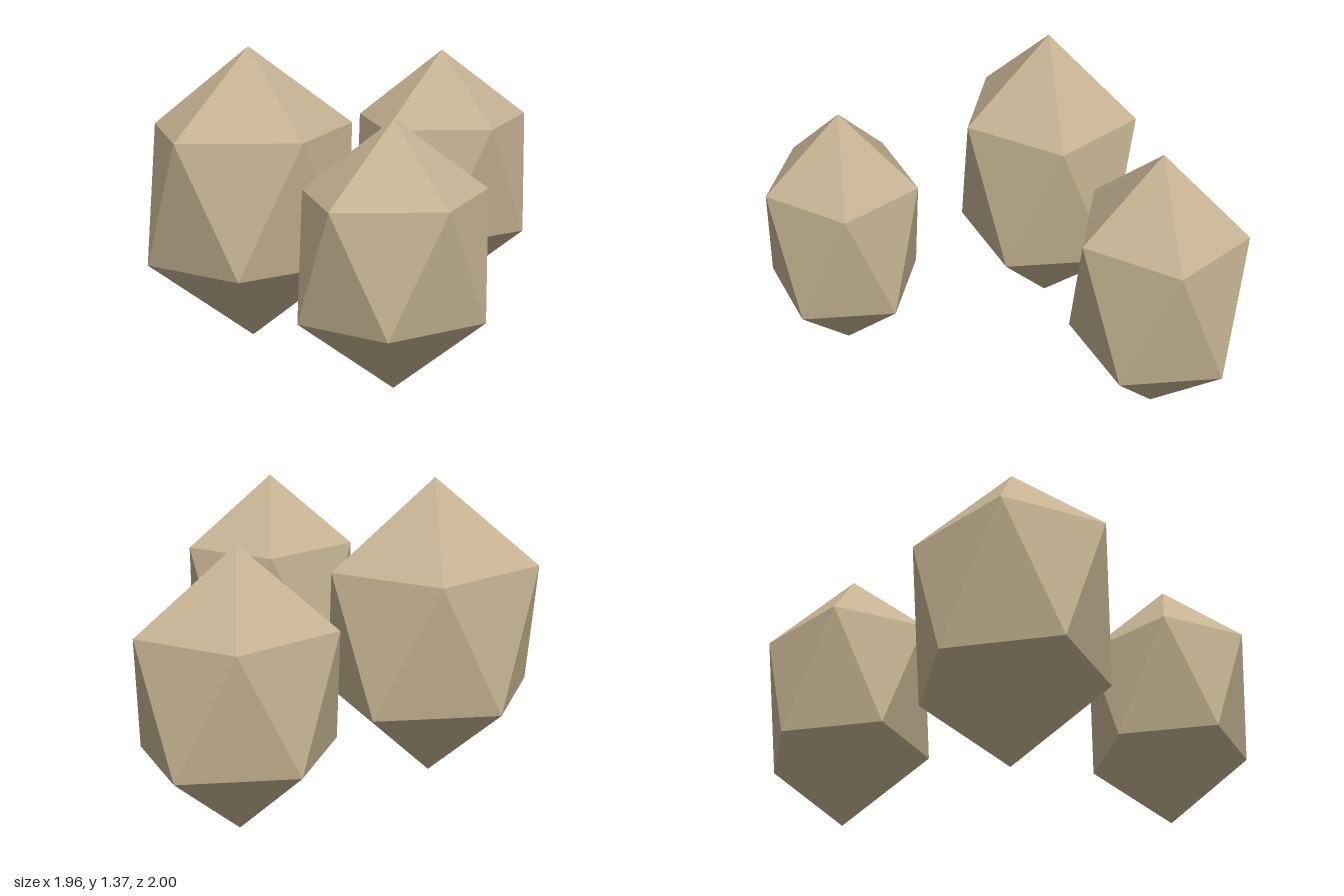
import * as THREE from 'three';

export function createModel() {
  const group = new THREE.Group();
  const stone = new THREE.MeshStandardMaterial({ color: 0xc4b291 });
  stone.name = 'sandstone';
  stone.flatShading = true;

  // Stretched icosahedron standing on one corner, with an upper ring corner towards +x
  const phi = (1 + Math.sqrt(5)) / 2;
  const ringRadius = 2 / Math.sqrt(5);
  function addRock(name, [x, y, z], [ringX, halfHeight, ringZ]) {
    const geometry = new THREE.IcosahedronGeometry(1, 0);
    geometry.rotateZ(-Math.atan(1 / phi));
    geometry.scale(ringX / ringRadius, halfHeight, ringZ / ringRadius);
    const rock = new THREE.Mesh(geometry, stone);
    rock.name = name;
    rock.position.set(x, y, z);
    group.add(rock);
  }

  // Three separate rocks: centre, then ring radius x, half height, ring radius z
  addRock('largeRock', [-0.495, 0.683, -0.322], [0.487, 0.683, 0.413]);
  addRock('mediumRock', [0.542, 0.643, -0.647], [0.438, 0.612, 0.371]);
  addRock('smallRock', [-0.115, 0.622, 0.665], [0.413, 0.578, 0.352]);

  return group;
}
